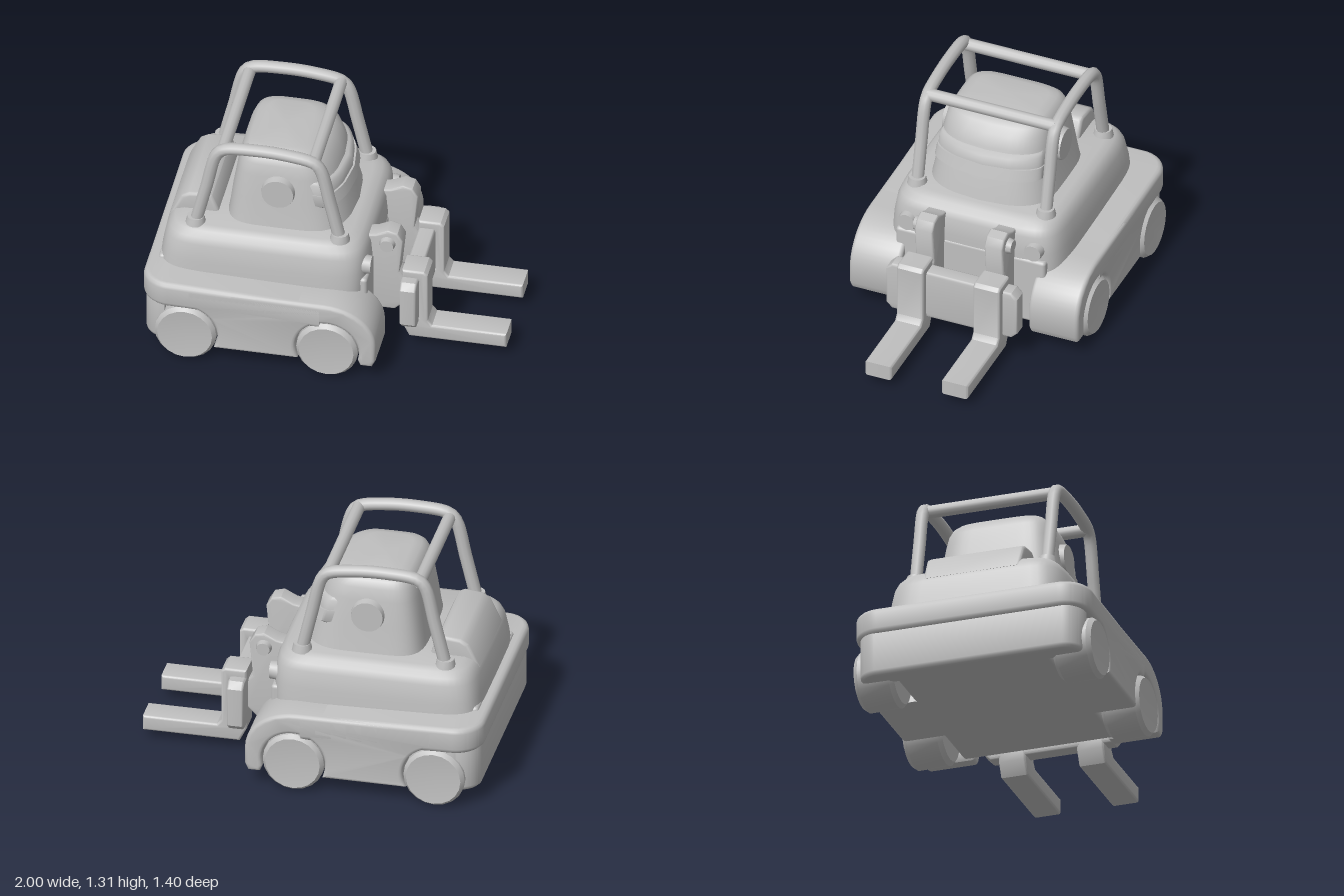
import * as THREE from 'three';
import { toCreasedNormals } from 'three/addons/utils/BufferGeometryUtils.js';
import { RoundedBoxGeometry } from 'three/addons/geometries/RoundedBoxGeometry.js';

const grey = new THREE.MeshStandardMaterial({ color: 0xbfbfbf });
grey.name = 'light grey';

// Stack of rounded sections [y, xMin, xMax, zHalf, frontBulge], capped at both ends
function loft(rings, e = 0.34, n = 48) {
  const pos = [], idx = [];
  const pw = v => Math.sign(v) * Math.pow(Math.abs(v), e);
  for (const [y, x0, x1, hz, bulge = 0] of rings) {
    for (let i = 0; i < n; i++) {
      const a = (i / n) * Math.PI * 2, c = pw(Math.cos(a)), s = pw(Math.sin(a));
      const x = (x0 + x1) / 2 + (c * (x1 - x0)) / 2 + bulge * (1 - s * s) * Math.max(0, c);
      pos.push(x, y, s * hz);
    }
  }
  for (let j = 0; j < rings.length - 1; j++) {
    for (let i = 0; i < n; i++) {
      const k = (i + 1) % n, a = j * n + i, c = j * n + k;
      idx.push(a, a + n, c, c, a + n, c + n);
    }
  }
  const last = (rings.length - 1) * n, mid = rings.length * n;
  for (const r of [rings[0], rings[rings.length - 1]]) pos.push((r[1] + r[2]) / 2, r[0], 0);
  for (let i = 0; i < n; i++) {
    const k = (i + 1) % n;
    idx.push(mid, i, k, mid + 1, last + k, last + i);
  }
  const g = new THREE.BufferGeometry();
  g.setAttribute('position', new THREE.Float32BufferAttribute(pos, 3));
  g.setIndex(idx);
  return toCreasedNormals(g, 0.9);
}

// Bevelled extrusion that keeps its nominal size, from z0 to z1
function slab(shape, z0, z1, b) {
  const g = new THREE.ExtrudeGeometry(shape, {
    depth: z1 - z0 - 2 * b, bevelSize: b, bevelThickness: b, bevelOffset: -b, bevelSegments: 3, curveSegments: 12,
  });
  g.translate(0, 0, z0 + b);
  return toCreasedNormals(g, 0.7);
}

const polygon = pts => new THREE.Shape(pts.map(p => new THREE.Vector2(...p)));

// Plan outline with rounded rear corners
function plan(x0, x1, hz, r) {
  const s = new THREE.Shape();
  s.moveTo(x1, -hz);
  s.lineTo(x1, hz);
  s.lineTo(x0 + r, hz);
  s.absarc(x0 + r, hz - r, r, Math.PI / 2, Math.PI, false);
  s.absarc(x0 + r, -hz + r, r, Math.PI, Math.PI * 1.5, false);
  s.closePath();
  return s;
}

export function createModel() {
  const root = new THREE.Group();
  const add = (name, geo, x = 0, y = 0, z = 0) => {
    const m = new THREE.Mesh(geo, grey);
    m.name = name;
    m.position.set(x, y, z);
    root.add(m);
    return m;
  };
  const box = (name, x0, x1, y0, y1, z0, z1, r) =>
    add(name, new RoundedBoxGeometry(x1 - x0, y1 - y0, z1 - z0, 3, r), (x0 + x1) / 2, (y0 + y1) / 2, (z0 + z1) / 2);

  // Chassis core, rear bumper and belt lip
  box('chassis', -0.94, 0.24, 0.1, 0.52, -0.45, 0.45, 0.02);
  const bumper = slab(plan(-0.985, -0.86, 0.66, 0.12), 0.1, 0.39, 0.03);
  bumper.rotateX(-Math.PI / 2);
  add('rearBumper', bumper);
  const lip = slab(plan(-1, 0.02, 0.69, 0.16), 0.35, 0.505, 0.03);
  lip.rotateX(-Math.PI / 2);
  const lp = lip.attributes.position;
  for (let i = 0; i < lp.count; i++) lp.setY(i, lp.getY(i) - 0.025 * (lp.getX(i) + 1));
  add('beltLip', lip);

  // Side skirt with wheel arches and front fender
  const wheelX = [-0.74, 0.06], wy = 0.18, ar = 0.18;
  const skirt = new THREE.Shape();
  skirt.moveTo(-0.58, 0.1);
  skirt.lineTo(-0.105, 0.1);
  skirt.absarc(wheelX[1], wy, ar, Math.PI * 1.1, -0.25, true);
  skirt.lineTo(0.25, 0.1);
  skirt.lineTo(0.315, 0.1);
  skirt.lineTo(0.335, 0.14);
  skirt.lineTo(0.335, 0.25);
  skirt.bezierCurveTo(0.33, 0.37, 0.22, 0.48, 0.04, 0.482);
  skirt.lineTo(-0.74, 0.485);
  skirt.lineTo(-0.74, wy + ar);
  skirt.absarc(wheelX[0], wy, ar, Math.PI / 2, -0.3, true);
  skirt.closePath();

  // Upper body
  add('upperBody', loft([
    [0.44, -0.95, 0.235, 0.53], [0.56, -0.937, 0.237, 0.52], [0.66, -0.918, 0.228, 0.503],
    [0.7, -0.9, 0.21, 0.487], [0.73, -0.875, 0.18, 0.462], [0.745, -0.83, 0.13, 0.42],
  ], 0.28));
  add('counterweight', slab(polygon([
    [-0.91, 0.68], [-0.62, 0.68], [-0.635, 0.76], [-0.67, 0.84], [-0.7, 0.855], [-0.8, 0.845], [-0.845, 0.82],
  ]), -0.285, 0.285, 0.02));

  // Cab with curved front and visor bands
  add('cab', loft([
    [0.7, -0.6, 0.05, 0.375, 0.07], [0.78, -0.585, 0.03, 0.36, 0.07], [0.9, -0.57, 0, 0.34, 0.07],
    [1.05, -0.545, -0.04, 0.318, 0.06], [1.12, -0.53, -0.06, 0.303, 0.05], [1.16, -0.512, -0.09, 0.283, 0.04],
    [1.185, -0.485, -0.125, 0.255, 0.03], [1.195, -0.44, -0.18, 0.21, 0.02],
  ], 0.42));
  add('lowerVisor', loft([[0.88, -0.2, 0.0, 0.315, 0.08], [0.895, -0.2, 0.02, 0.325, 0.08], [0.96, -0.2, 0.0, 0.318, 0.08]], 0.35));
  add('upperVisor', loft([[0.95, -0.2, -0.01, 0.315, 0.08], [1.02, -0.2, -0.02, 0.31, 0.085], [1.035, -0.2, -0.035, 0.3, 0.08]], 0.35));

  // Wheel with a slightly dished face, turning about z
  const wheelGeo = new THREE.LatheGeometry(
    [[0, -0.11], [0.15, -0.115], [0.172, -0.09], [0.174, 0.09], [0.155, 0.115], [0, 0.1]].map(p => new THREE.Vector2(...p)), 20);
  wheelGeo.rotateX(Math.PI / 2);
  const wheelCreased = toCreasedNormals(wheelGeo, 0.6);

  const barCurve = z => new THREE.CatmullRomCurve3([
    [-0.74, 0.74], [-0.68, 0.99], [-0.622, 1.22], [-0.58, 1.26], [-0.4, 1.278], [-0.22, 1.27],
    [-0.07, 1.24], [-0.035, 1.2], [0.02, 0.98], [0.075, 0.74],
  ].map(([x, y]) => new THREE.Vector3(x, y, z)), false, 'centripetal');

  const arm = polygon([
    [0.2, 0.69], [0.25, 0.7], [0.32, 0.735], [0.375, 0.72], [0.405, 0.67], [0.385, 0.46], [0.42, 0.42],
    [0.42, 0.26], [0.36, 0.2], [0.2, 0.2],
  ]);
  const fork = polygon([
    [0.41, 0.44], [0.5, 0.44], [0.5, 0.2], [0.41, 0.2], [0.41, 0.14], [0.45, 0.06], [1, 0.06], [1, 0.15],
    [0.58, 0.15], [0.555, 0.18], [0.555, 0.49], [0.535, 0.51], [0.41, 0.51],
  ]);
  const both = (z0, z1, s) => (s > 0 ? [z0, z1] : [-z1, -z0]);

  for (const s of [1, -1]) {
    const side = s > 0 ? 'left' : 'right';
    add(side + 'Skirt', slab(skirt, ...both(0.39, 0.69, s), 0.022));
    wheelX.forEach((x, i) => {
      const w = add(side + (i ? 'FrontWheel' : 'RearWheel'), wheelCreased, x, wy, s * 0.583);
      if (s < 0) w.rotation.y = Math.PI;
    });
    // Round side lamp on the cab
    const ear = add(side + 'CabDisc', toCreasedNormals(new THREE.CylinderGeometry(0.09, 0.105, 0.07, 20), 0.6), -0.285, 0.965, s * 0.32);
    ear.rotation.x = s * Math.PI / 2;
    // Roll cage hoop with foot collars
    add(side + 'CageHoop', new THREE.TubeGeometry(barCurve(s * 0.387), 48, 0.036, 10));
    for (const x of [-0.74, 0.075]) {
      add(side + 'CageFoot', toCreasedNormals(new THREE.CylinderGeometry(0.048, 0.058, 0.045, 14), 0.6), x, 0.757, s * 0.387);
    }
    // Headlight
    const lamp = add(side + 'Headlight', toCreasedNormals(new THREE.CylinderGeometry(0.05, 0.056, 0.06, 16), 0.6), 0.225, 0.58, s * 0.38);
    lamp.rotation.z = -Math.PI / 2;
    // Lift arm, pivot bolt and fork
    add(side + 'LiftArm', slab(arm, ...both(0.155, 0.265, s), 0.012));
    const bolt = add(side + 'PivotBolt', toCreasedNormals(new THREE.CylinderGeometry(0.038, 0.048, 0.04, 14), 0.6), 0.32, 0.65, s * 0.275);
    bolt.rotation.x = s * Math.PI / 2;
    add(side + 'Fork', slab(fork, ...both(0.15, 0.31, s), 0.014));
  }

  // Cage crossbars
  for (const x of [-0.59, -0.073]) {
    const bar = add('cageCrossbar', new THREE.CylinderGeometry(0.036, 0.036, 0.77, 12), x, 1.24, 0);
    bar.rotation.x = Math.PI / 2;
  }

  // Fork carriage plate
  const plate = slab(polygon([
    [-0.395, 0.2], [-0.36, 0.165], [0.36, 0.165], [0.395, 0.2], [0.395, 0.43], [0.36, 0.467], [-0.36, 0.467], [-0.395, 0.43],
  ]), 0, 0.095, 0.014);
  plate.rotateY(Math.PI / 2);
  add('carriagePlate', plate, 0.41, 0, 0);

  return root;
}
